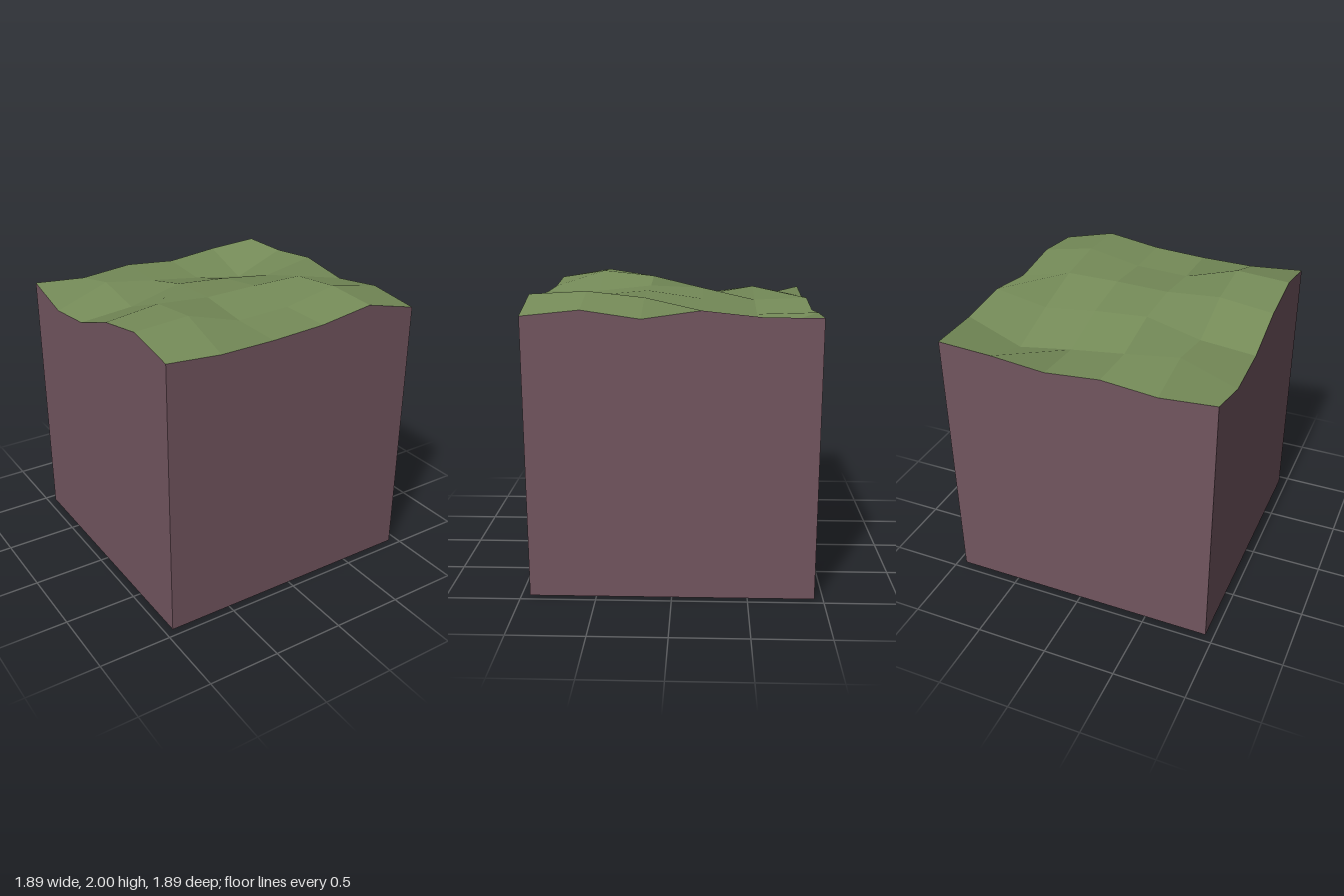
import * as THREE from 'three';

const HALF = 0.943;
const CELLS = 5;

// Ground heights: rows run back to front, columns from -x to +x
const HEIGHTS = [
  [1.84, 1.81, 1.845, 1.81, 1.847, 1.867],
  [1.748, 1.885, 1.83, 1.78, 1.72, 1.87],
  [1.785, 1.82, 1.915, 1.885, 1.84, 1.91],
  [1.912, 1.96, 1.93, 1.94, 1.94, 1.855],
  [1.975, 2.0, 1.89, 1.905, 1.98, 1.91],
  [1.91, 1.88, 1.885, 1.905, 1.96, 1.87],
];

// Grid point of the ground surface
function groundPoint(col, row) {
  const step = (2 * HALF) / CELLS;
  return new THREE.Vector3(-HALF + col * step, HEIGHTS[row][col], -HALF + row * step);
}

// Joins four-cornered faces; each face has one flat normal
function quadGeometry(quads) {
  const positions = [];
  const normals = [];
  for (const [a, b, c, d] of quads) {
    const ac = c.clone().sub(a);
    const bd = d.clone().sub(b);
    const normal = ac.cross(bd).normalize();
    for (const p of [a, b, d, b, c, d]) {
      positions.push(p.x, p.y, p.z);
      normals.push(normal.x, normal.y, normal.z);
    }
  }
  const geometry = new THREE.BufferGeometry();
  geometry.setAttribute('position', new THREE.Float32BufferAttribute(positions, 3));
  geometry.setAttribute('normal', new THREE.Float32BufferAttribute(normals, 3));
  return geometry;
}

// Wall hanging from a row of rim points, ordered left to right seen from outside
function wallGeometry(rim) {
  const quads = [];
  for (let i = 0; i < CELLS; i++) {
    const [p, q] = [rim[i], rim[i + 1]];
    quads.push([p, p.clone().setY(0), q.clone().setY(0), q]);
  }
  return quadGeometry(quads);
}

export function createModel() {
  const group = new THREE.Group();
  group.name = 'terrainBlock';

  const grass = new THREE.MeshStandardMaterial({ color: 0x758b58, side: THREE.DoubleSide });
  grass.name = 'grassGreen';
  const earth = new THREE.MeshStandardMaterial({ color: 0x72555f, side: THREE.DoubleSide });
  earth.name = 'earthBrown';

  const add = (name, geometry, material) => {
    const mesh = new THREE.Mesh(geometry, material);
    mesh.name = name;
    group.add(mesh);
  };

  // Rolling grass surface
  const cells = [];
  for (let r = 0; r < CELLS; r++) {
    for (let c = 0; c < CELLS; c++) {
      cells.push([
        groundPoint(c, r), groundPoint(c, r + 1),
        groundPoint(c + 1, r + 1), groundPoint(c + 1, r),
      ]);
    }
  }
  add('grassSurface', quadGeometry(cells), grass);

  // Four earth walls, open underneath
  const rim = (pointAt) => Array.from({ length: CELLS + 1 }, (_, i) => pointAt(i));
  add('frontWall', wallGeometry(rim((i) => groundPoint(i, CELLS))), earth);
  add('backWall', wallGeometry(rim((i) => groundPoint(CELLS - i, 0))), earth);
  add('leftWall', wallGeometry(rim((i) => groundPoint(CELLS, CELLS - i))), earth);
  add('rightWall', wallGeometry(rim((i) => groundPoint(0, i))), earth);

  return group;
}
